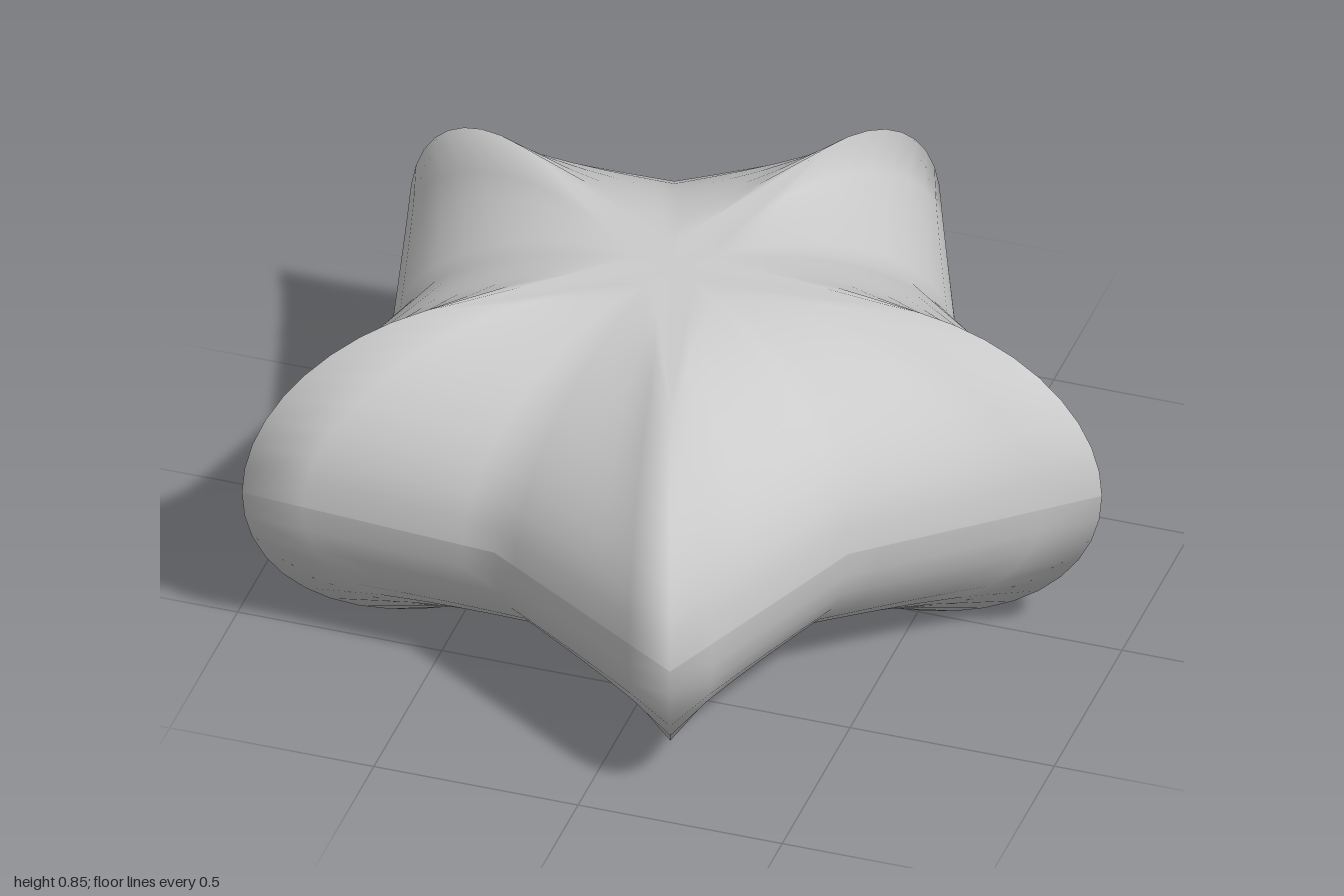
import * as THREE from 'three';

const POINTS = 5;
const HALF = Math.PI / POINTS;
const STEPS = 6;            // samples from a tip to the next notch
const RINGS = 10;           // rings from the rim to the crest
const HEIGHT = 0.425;       // half thickness
const CENTRE_X = -0.1;

// Distance from the centre to a straight-edged star outline at a given angle from a tip
function starRadius(angle, tip, notch) {
  const nx = notch * Math.cos(HALF), nz = notch * Math.sin(HALF);
  return (tip * nz) / (nz * Math.cos(angle) + (tip - nx) * Math.sin(angle));
}

// One puffed half: elliptical shoulders rise from the wide star rim to a thin star crest
function halfStar(side) {
  const count = POINTS * 2 * STEPS;
  const positions = [], index = [];
  for (let i = 0; i <= RINGS; i++) {
    const phi = (i / RINGS) * Math.PI / 2;
    for (let j = 0; j < count; j++) {
      const theta = (j / STEPS) * HALF;
      const k = j % (2 * STEPS);
      const fold = (Math.min(k, 2 * STEPS - k) / STEPS) * HALF;
      const rim = starRadius(fold, 1.051, 0.7);
      const crest = starRadius(fold, 0.525, 0.09);
      const r = crest + (rim - crest) * Math.cos(phi);
      positions.push(r * Math.cos(theta), side * HEIGHT * Math.sin(phi), r * Math.sin(theta));
    }
  }
  // Slightly sunken middle
  const centre = positions.length / 3;
  positions.push(0, side * (HEIGHT - 0.012), 0);

  const face = (a, b, c) => (side > 0 ? index.push(a, b, c) : index.push(a, c, b));
  for (let j = 0; j < count; j++) {
    const n = (j + 1) % count;
    for (let i = 0; i < RINGS; i++) {
      const a = i * count + j, b = i * count + n;
      const c = a + count, d = b + count;
      // Mirror the diagonals so both flanks of each arm match
      if (Math.floor(j / STEPS) % 2) { face(a, c, b); face(b, c, d); }
      else { face(a, d, b); face(a, c, d); }
    }
    face(RINGS * count + j, centre, RINGS * count + n);
  }
  const geometry = new THREE.BufferGeometry();
  geometry.setAttribute('position', new THREE.Float32BufferAttribute(positions, 3));
  geometry.setIndex(index);
  geometry.computeVertexNormals();
  return geometry;
}

export function createModel() {
  const group = new THREE.Group();
  group.name = 'puffedStar';
  const material = new THREE.MeshStandardMaterial({ color: 0xcccccc });
  // The halves keep separate normals, leaving a seam around the rim
  for (const [name, side] of [['upperHalf', 1], ['lowerHalf', -1]]) {
    const mesh = new THREE.Mesh(halfStar(side), material);
    mesh.name = name;
    mesh.position.set(CENTRE_X, HEIGHT, 0);
    group.add(mesh);
  }
  return group;
}
